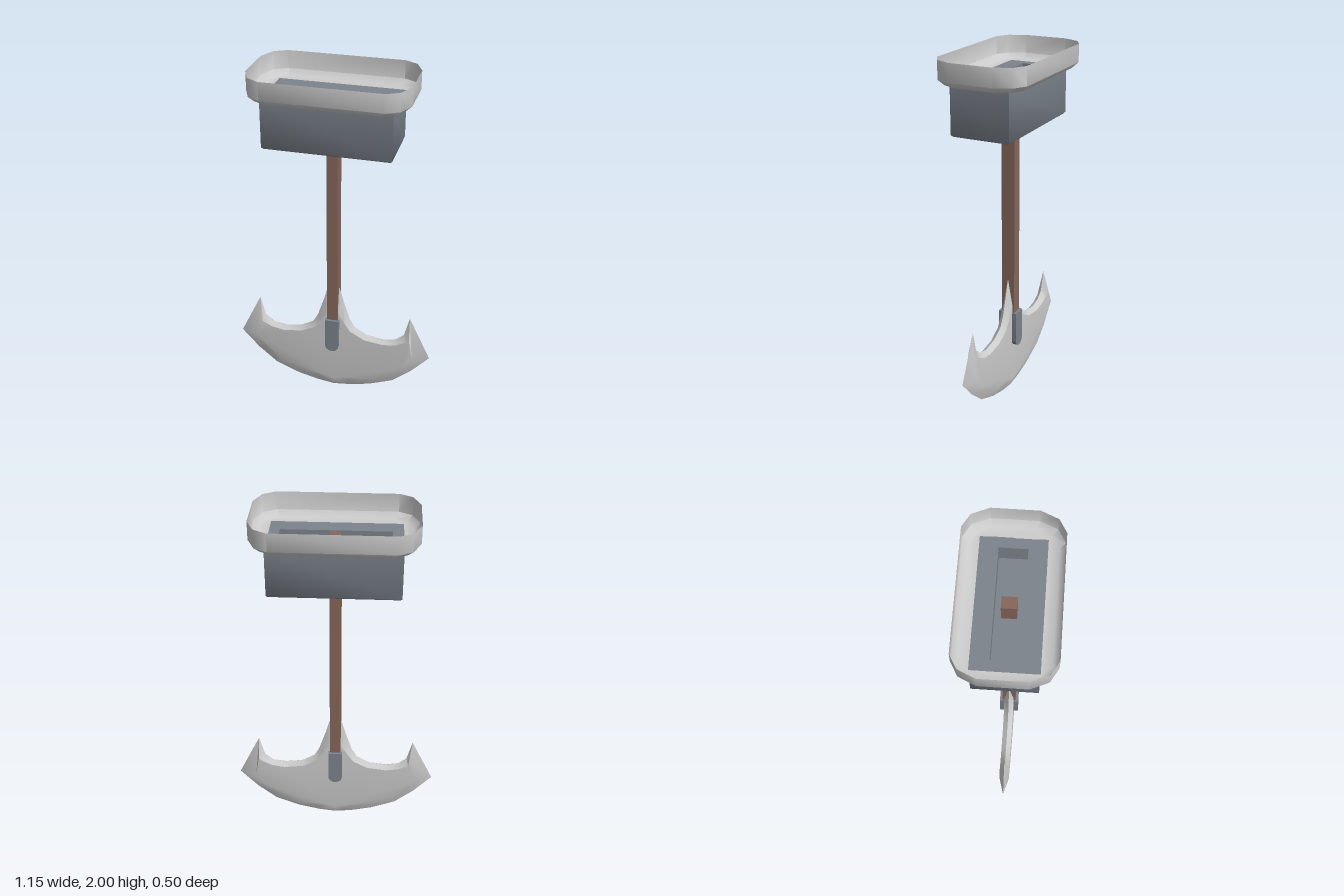
import * as THREE from 'three';
import { toCreasedNormals } from 'three/addons/utils/BufferGeometryUtils.js';

const steel = new THREE.MeshStandardMaterial({ color: 0xcccccc });
const shellSteel = new THREE.MeshStandardMaterial({ color: 0xcccccc, side: THREE.DoubleSide });
const iron = new THREE.MeshStandardMaterial({ color: 0x7c838c });
const wood = new THREE.MeshStandardMaterial({ color: 0x85665a });

function addMesh(group, name, geometry, material) {
  const mesh = new THREE.Mesh(geometry, material);
  mesh.name = name;
  group.add(mesh);
  return mesh;
}

function indexed(points, index, crease) {
  const g = new THREE.BufferGeometry();
  g.setAttribute('position', new THREE.Float32BufferAttribute(points.flat(), 3));
  g.setIndex(index);
  return toCreasedNormals(g, crease);
}

// Horizontal loop of 12 points: one corner's 3 points mirrored into all four corners.
function cornerLoop(corner, y) {
  const back = [...corner].reverse();
  return [
    ...corner.map(([x, z]) => [x, y, z]),
    ...back.map(([x, z]) => [-x, y, z]),
    ...corner.map(([x, z]) => [-x, y, -z]),
    ...back.map(([x, z]) => [x, y, -z]),
  ];
}
const rectLoop = (x, z, y) => cornerLoop([[x, z], [x, z], [x, z]], y);

// Skin between successive loops.
function loft(loops, crease) {
  const n = loops[0].length;
  const index = [];
  for (let r = 0; r < loops.length - 1; r++) {
    for (let i = 0; i < n; i++) {
      const j = (i + 1) % n, a = r * n, b = a + n;
      index.push(a + i, a + j, b + i, a + j, b + j, b + i);
    }
  }
  return indexed(loops.flat(), index, crease);
}

// Full outline from the right half, which runs from bottom centre to top centre.
function mirrored(half) {
  const left = half.slice(1, -1).reverse().map(([x, y]) => [-x, y]);
  return [...half, ...left];
}

// Blade: sharp outline at z = 0 bevelled to a smaller flat face on each side.
function bladeGeometry(edgeHalf, faceHalf, t) {
  const edge = mirrored(edgeHalf), face = mirrored(faceHalf), n = edge.length;
  const points = [
    ...edge.map(([x, y]) => [x, y, 0]),
    ...face.map(([x, y]) => [x, y, t]),
    ...face.map(([x, y]) => [x, y, -t]),
  ];
  const index = [];
  for (let i = 0; i < n; i++) {
    const j = (i + 1) % n;
    index.push(i, j, n + i, j, n + j, n + i);
    index.push(j, i, 2 * n + i, j, 2 * n + i, 2 * n + j);
  }
  const contour = face.map(([x, y]) => new THREE.Vector2(x, y));
  for (const [a, b, c] of THREE.ShapeUtils.triangulateShape(contour, [])) {
    index.push(n + a, n + b, n + c, 2 * n + a, 2 * n + c, 2 * n + b);
  }
  return indexed(points, index, 0.6);
}

export function createModel() {
  const model = new THREE.Group();
  model.name = 'pendulumAxe';

  // Open ceiling rim with chamfered corners and a flat floor around the housing
  addMesh(model, 'ceilingRim', loft([
    cornerLoop([[0.43, 0.12], [0.39, 0.21], [0.32, 0.25]], 2),
    cornerLoop([[0.43, 0.12], [0.39, 0.21], [0.32, 0.25]], 1.9),
    cornerLoop([[0.4, 0.11], [0.365, 0.185], [0.3, 0.22]], 1.87),
    rectLoop(0.345, 0.167, 1.87),
  ], 0.85), shellSteel);

  // Housing with a slot running through it
  addMesh(model, 'housing', loft([
    rectLoop(0.347, 0.167, 1.87),
    rectLoop(0.347, 0.167, 1.61),
    rectLoop(0.337, 0.157, 1.6),
    rectLoop(0.29, 0.072, 1.6),
    rectLoop(0.29, 0.072, 1.87),
    rectLoop(0.347, 0.167, 1.87),
  ], 0.9), iron);

  // Plate closing the slot
  addMesh(model, 'slotPlate', new THREE.BoxGeometry(0.58, 0.02, 0.144), iron)
    .position.y = 1.75;

  // Wooden shaft
  addMesh(model, 'shaft', new THREE.BoxGeometry(0.062, 1.48, 0.078), wood)
    .position.y = 1.14;

  // Collar with a rounded lower end, clamping shaft to blade
  const collar = new THREE.Shape();
  collar.moveTo(0.04, 0.5);
  collar.lineTo(-0.04, 0.5);
  collar.lineTo(-0.04, 0.325);
  collar.absarc(0, 0.325, 0.04, Math.PI, Math.PI * 2, false);
  collar.closePath();
  const collarGeometry = new THREE.ExtrudeGeometry(collar, {
    depth: 0.11, bevelEnabled: false, curveSegments: 5,
  });
  collarGeometry.translate(0, 0, -0.055);
  addMesh(model, 'collar', toCreasedNormals(collarGeometry, 0.8), iron);

  // Crescent blade with hooked tips and a central spike
  const edge = [
    [0, 0.003], [0.1, 0.015], [0.22, 0.043], [0.36, 0.098], [0.47, 0.19], [0.573, 0.303],
    [0.45, 0.56], [0.418, 0.44], [0.37, 0.402], [0.3, 0.386], [0.2, 0.402], [0.125, 0.445],
    [0.095, 0.5], [0.06, 0.61], [0.035, 0.7], [0, 0.71],
  ];
  const face = [
    [0, 0.066], [0.09, 0.075], [0.195, 0.1], [0.32, 0.148], [0.41, 0.22], [0.475, 0.305],
    [0.454, 0.425], [0.43, 0.405], [0.375, 0.378], [0.3, 0.366], [0.19, 0.38], [0.105, 0.425],
    [0.07, 0.48], [0.04, 0.53], [0.02, 0.555], [0, 0.56],
  ];
  addMesh(model, 'blade', bladeGeometry(edge, face, 0.028), steel);

  return model;
}
